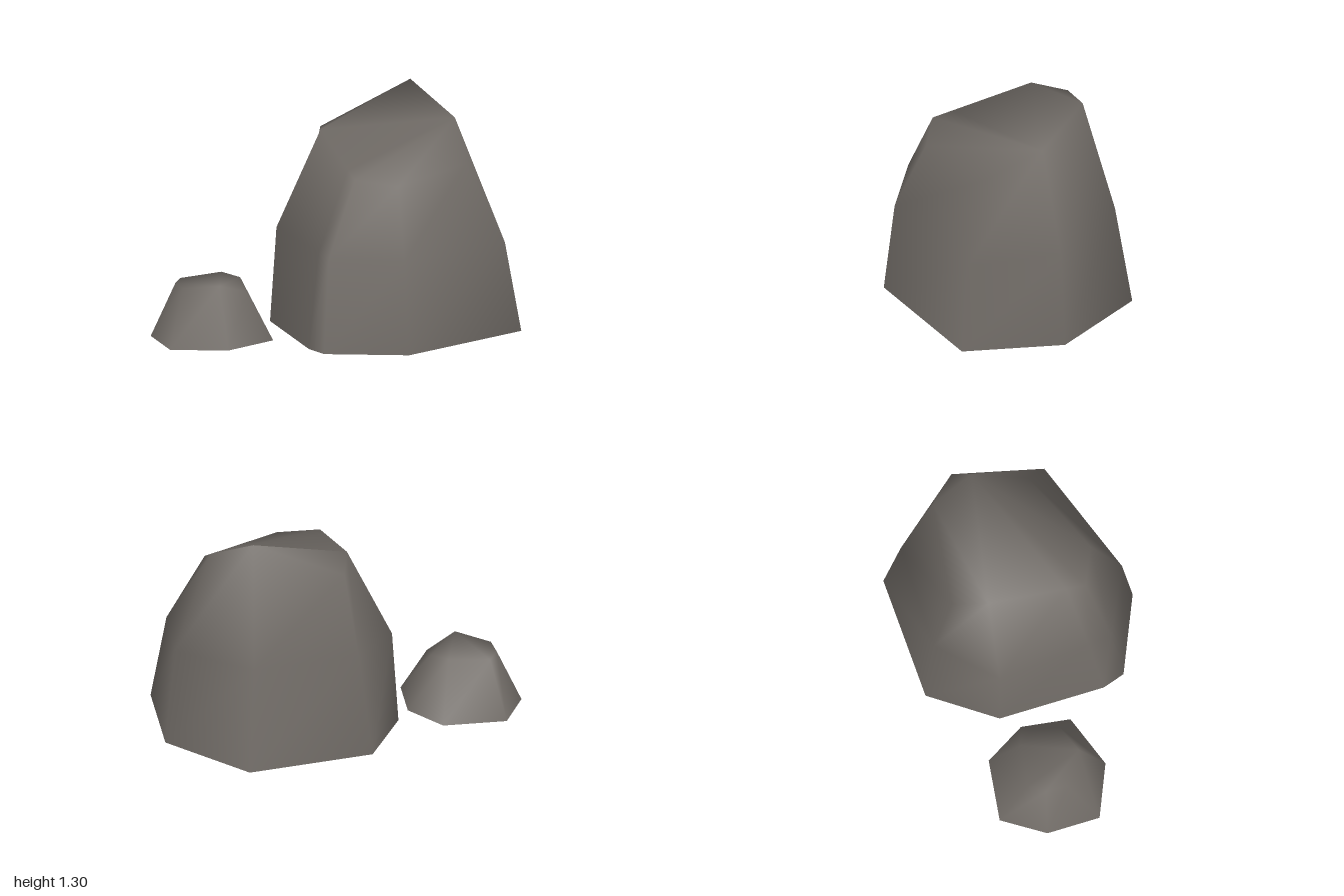
import * as THREE from 'three';

// Hollow rock, open underneath: rings of [x, y, z] from bottom to top joined by
// smooth sides, closed by top triangles given as positions in the last ring.
function rockGeometry(rings, topFaces) {
  const n = rings[0].length;
  const index = [];
  for (let r = 0; r < rings.length - 1; r++) {
    for (let i = 0; i < n; i++) {
      const a = r * n + i, b = r * n + (i + 1) % n;
      index.push(b, a, a + n, b, a + n, b + n);
    }
  }
  const top = (rings.length - 1) * n;
  for (const [a, b, c] of topFaces) index.push(top + a, top + c, top + b);

  const geometry = new THREE.BufferGeometry();
  geometry.setAttribute('position', new THREE.Float32BufferAttribute(rings.flat(2), 3));
  geometry.setIndex(index);
  geometry.computeVertexNormals();
  return geometry;
}

export function createModel() {
  const group = new THREE.Group();
  group.name = 'rocks';
  const stone = new THREE.MeshStandardMaterial({ color: 0x706b66, side: THREE.DoubleSide });
  stone.name = 'grey stone';

  const add = (name, rings, topFaces) => {
    const mesh = new THREE.Mesh(rockGeometry(rings, topFaces), stone);
    mesh.name = name;
    group.add(mesh);
  };

  // Tall boulder with a slanted, slightly hollow top and its peak at the back
  add('largeRock', [
    [[0.16, 0, -0.8], [0.73, 0, -0.61], [1, 0, -0.09], [0.52, 0, 0.56],
      [0.05, 0, 0.66], [-0.06, 0, 0.58], [-0.42, 0, 0.08], [-0.42, 0, -0.36]],
    [[0.17, 0.6, -0.7], [0.69, 0.57, -0.57], [0.905, 0.51, -0.09], [0.48, 0.53, 0.51],
      [0.06, 0.54, 0.585], [-0.03, 0.54, 0.48], [-0.385, 0.55, 0.07], [-0.33, 0.6, -0.34]],
    [[0.235, 1.3, -0.53], [0.53, 1.13, -0.4], [0.67, 0.95, -0.11], [0.4, 0.92, 0.35],
      [0.16, 0.955, 0.4], [0.095, 0.984, 0.306], [-0.165, 1.1, -0.07], [-0.22, 1.06, -0.27]],
  ], [[0, 6, 7], [0, 1, 6], [1, 5, 6], [1, 4, 5], [1, 3, 4], [1, 2, 3]]);

  // Low stone beside it
  add('smallRock', [
    [[-0.68, 0, 0.1], [-0.43, 0, 0.21], [-0.3, 0, 0.46], [-0.49, 0, 0.73],
      [-0.81, 0, 0.8], [-0.99, 0, 0.55], [-1, 0, 0.27]],
    [[-0.65, 0.327, 0.28], [-0.53, 0.315, 0.32], [-0.46, 0.27, 0.45], [-0.575, 0.335, 0.6],
      [-0.79, 0.305, 0.6], [-0.86, 0.305, 0.5], [-0.86, 0.305, 0.39]],
  ], [[3, 4, 5], [3, 5, 6], [3, 6, 0], [3, 0, 1], [3, 1, 2]]);

  return group;
}
